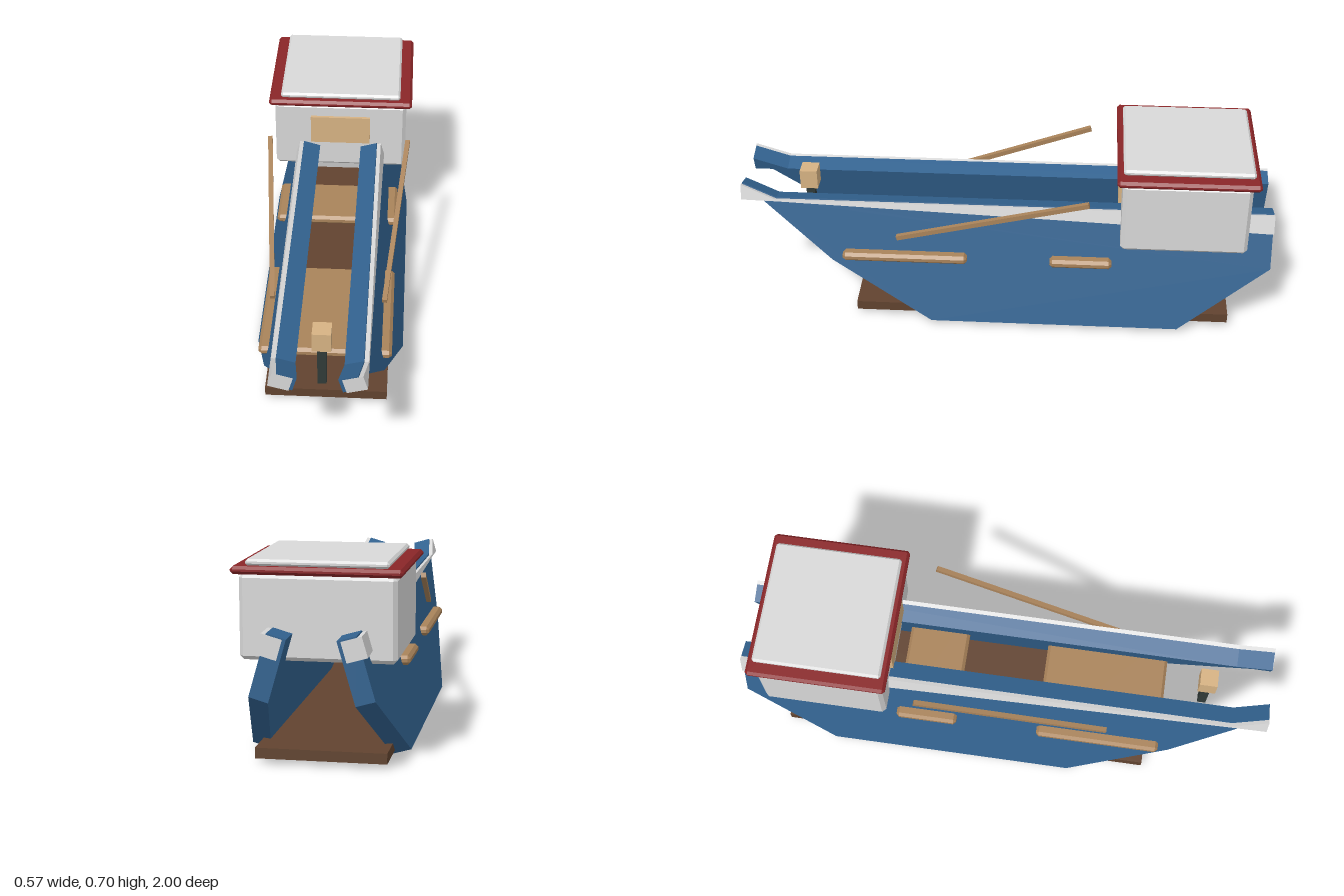
import * as THREE from 'three';
import { ConvexGeometry } from 'three/addons/geometries/ConvexGeometry.js';

const mat = (name, color) => {
  const m = new THREE.MeshStandardMaterial({ color });
  m.name = name;
  return m;
};

export function createModel() {
  const model = new THREE.Group();
  model.name = 'boat';
  const blue = mat('hull blue', 0x32628f);
  const white = mat('painted white', 0xd8d8d8);
  const red = mat('roof red', 0x8a2628);
  const wood = mat('wood', 0xa9835a);
  const paleWood = mat('pale wood', 0xd6b283);
  const darkWood = mat('dark wood', 0x61432f);
  const iron = mat('iron', 0x303a38);

  const add = (name, geometry, material) => {
    const mesh = new THREE.Mesh(geometry, material);
    mesh.name = name;
    model.add(mesh);
    return mesh;
  };

  // Plain box, centred on x, given by its y and z ranges
  const box = (name, width, y0, y1, z0, z1, material) =>
    add(name, new THREE.BoxGeometry(width, y1 - y0, z1 - z0), material)
      .position.set(0, (y0 + y1) / 2, (z0 + z1) / 2);

  // Box with chamfered edges: three points around each corner
  const chamferBox = (name, width, y0, y1, z0, z1, r, material) => {
    const half = [width / 2, (y1 - y0) / 2, (z1 - z0) / 2];
    const points = [];
    for (const sx of [-1, 1]) for (const sy of [-1, 1]) for (const sz of [-1, 1])
      for (let axis = 0; axis < 3; axis++) {
        const c = half.map((h, i) => (i === axis ? h : h - r));
        points.push(new THREE.Vector3(c[0] * sx, c[1] * sy, c[2] * sz));
      }
    add(name, new ConvexGeometry(points), material)
      .position.set(0, (y0 + y1) / 2, (z0 + z1) / 2);
  };

  // Slab cut from a (z, height) outline, leaning inward on the given side;
  // u0 and u1 are its inner and outer faces measured from the slab middle
  const TILT = 0.28;
  const leaningSlab = (name, outline, u0, u1, side, material) => {
    const shape = new THREE.Shape(outline.map(([z, v]) => new THREE.Vector2(z, v)));
    const g = new THREE.ExtrudeGeometry(shape, { depth: u1 - u0, bevelEnabled: false });
    g.rotateY(-Math.PI / 2);
    g.translate(side > 0 ? u1 : -u0, 0, 0);
    const mesh = add(name, g, material);
    mesh.rotation.z = side * TILT;
    mesh.position.set(side * 0.247, 0.011, 0);
  };

  const hullOutline = [
    [0.28, 0], [0.66, 0.235], [0.93, 0.473], [0.998, 0.473], [0.998, 0.531],
    [0.87, 0.478], [-0.998, 0.478], [-0.998, 0.257], [-0.66, 0],
  ];
  const railOutline = [
    [1, 0.469], [1, 0.527], [0.87, 0.473], [-1, 0.473], [-1, 0.401], [0.87, 0.466],
  ];

  for (const side of [1, -1]) {
    const label = side > 0 ? 'left' : 'right';
    leaningSlab(label + 'HullSide', hullOutline, -0.034, 0.034, side, blue);
    leaningSlab(label + 'Rail', railOutline, -0.022, 0.05, side, white);

    // Oar resting against the hull
    const low = new THREE.Vector3(side * 0.205, 0.354, 0.41);
    const high = new THREE.Vector3(side * 0.272, 0.573, -0.31);
    const oar = add(label + 'Oar',
      new THREE.BoxGeometry(0.018, 0.018, low.distanceTo(high)), wood);
    oar.position.copy(low).lerp(high, 0.5);
    oar.lookAt(high);
  }

  // Floor and benches
  box('floor', 0.45, 0.02, 0.057, -0.855, 0.575, darkWood);
  chamferBox('frontBench', 0.478, 0.256, 0.291, 0.145, 0.618, 0.011, wood);
  chamferBox('rearBench', 0.478, 0.256, 0.291, -0.402, -0.168, 0.011, wood);

  // Cabin
  chamferBox('cabin', 0.526, 0.367, 0.655, -0.898, -0.43, 0.014, white);
  chamferBox('roofEdge', 0.57, 0.655, 0.682, -0.925, -0.408, 0.01, red);
  chamferBox('roofTop', 0.476, 0.681, 0.704, -0.905, -0.43, 0.008, white);
  box('cabinWindow', 0.238, 0.485, 0.603, -0.436, -0.418, paleWood);

  // Bow lantern on its post
  box('lanternPost', 0.032, 0.285, 0.46, 0.749, 0.781, iron);
  box('lantern', 0.066, 0.449, 0.525, 0.732, 0.798, paleWood);

  return model;
}
